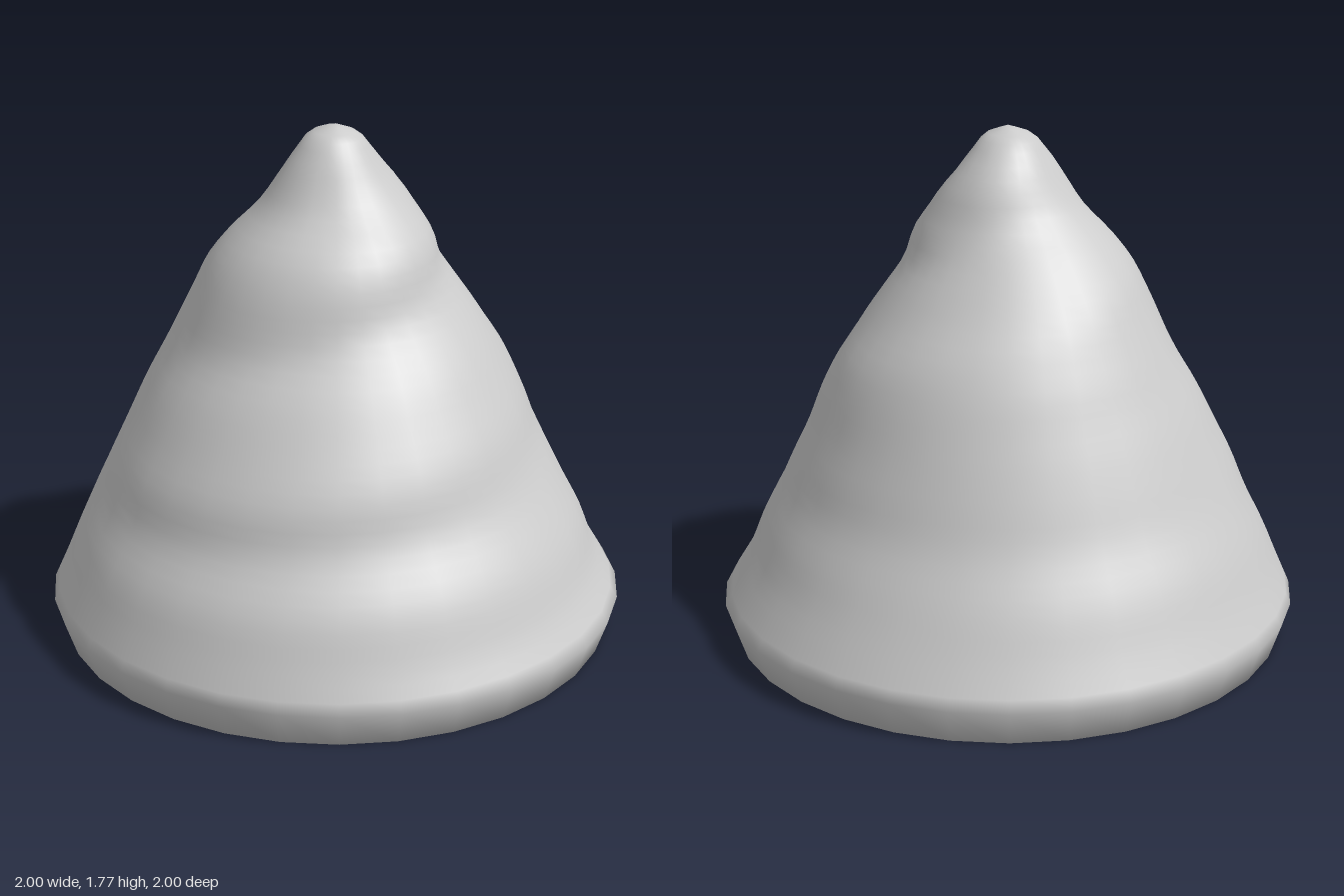
import * as THREE from 'three';

const SIDES = 32;
const TOP = 1.77, RIM = 0.12;
const DROP = 0.15; // how far the spiral crease falls per quarter turn

// Radius by height along the four quarter directions, in the order the spiral descends
const heights = [0.12, 0.25, 0.4, 0.55, 0.7, 0.85, 1.0, 1.1, 1.2, 1.3, 1.4, 1.5, 1.6, 1.7, 1.745, 1.77];
const quarters = [
  [1, 0.95, 0.89, 0.785, 0.74, 0.65, 0.55, 0.465, 0.43, 0.40, 0.34, 0.23, 0.17, 0.12, 0.075, 0], // front
  [1, 0.94, 0.88, 0.81, 0.74, 0.67, 0.59, 0.54, 0.49, 0.44, 0.36, 0.26, 0.19, 0.12, 0.075, 0],   // right
  [1, 0.93, 0.85, 0.77, 0.715, 0.66, 0.60, 0.545, 0.46, 0.385, 0.31, 0.26, 0.22, 0.135, 0.075, 0], // back
  [1, 0.92, 0.86, 0.78, 0.70, 0.64, 0.56, 0.50, 0.43, 0.36, 0.33, 0.26, 0.18, 0.11, 0.07, 0],    // left
];
const mean = heights.map((_, i) => quarters.reduce((s, q) => s + q[i], 0) / 4);

// Smooth curve through values given at the heights
function curve(values) {
  const c = new THREE.CubicInterpolant(heights, values, 1, new Float32Array(1));
  return (y) => c.evaluate(THREE.MathUtils.clamp(y, RIM, TOP))[0];
}
const cone = curve(mean);
const bulges = quarters.map((q) => curve(q.map((r, i) => r - mean[i])));

// Cone radius plus bulges that slide down as they wind around
function radius(turn, y) {
  const k = Math.floor(turn), t = turn - k;
  const drop = DROP * THREE.MathUtils.smoothstep(y, RIM, 0.35);
  const a = bulges[k % 4](y + drop * t);
  const b = bulges[(k + 1) % 4](y - drop * (1 - t));
  return Math.max(0, cone(y) + a * (1 - t) + b * t);
}

// Closed skin: flat underside, undercut rim, spiralling mound
function moundGeometry() {
  const rows = [[0, 0], [0, 0.85], [0, 0.96]].map(([y, r]) => ({ y, r }));
  const steps = 40;
  for (let j = 0; j <= steps; j++) rows.push({ y: RIM + (1.7 - RIM) * (j / steps) });
  for (const y of [1.725, 1.745, 1.76, TOP]) rows.push({ y });
  rows[rows.length - 1].r = 0;

  const pos = [], index = [];
  rows.forEach(({ y, r }) => {
    for (let i = 0; i < SIDES; i++) {
      const angle = (i / SIDES) * Math.PI * 2;
      const rad = r ?? radius((i / SIDES) * 4, y);
      pos.push(-Math.sin(angle) * rad, y, Math.cos(angle) * rad);
    }
  });
  for (let j = 0; j < rows.length - 1; j++) {
    for (let i = 0; i < SIDES; i++) {
      const n = (i + 1) % SIDES;
      const a = j * SIDES + i, b = j * SIDES + n, c = a + SIDES, d = b + SIDES;
      if (j < rows.length - 2) index.push(a, c, d);
      if (j > 0) index.push(a, d, b);
      else index.push(a, c, d);
    }
  }
  const g = new THREE.BufferGeometry();
  g.setAttribute('position', new THREE.Float32BufferAttribute(pos, 3));
  g.setIndex(index);
  // The last ring meets in one point, so close it there
  const tip = (rows.length - 1) * SIDES;
  g.setIndex(index.map((v) => (v >= tip ? tip : v)));
  g.computeVertexNormals();
  return g;
}

export function createModel() {
  const group = new THREE.Group();
  group.name = 'spiralMound';
  const mound = new THREE.Mesh(moundGeometry(), new THREE.MeshStandardMaterial({ color: 0xcccccc }));
  mound.name = 'mound';
  group.add(mound);
  return group;
}
